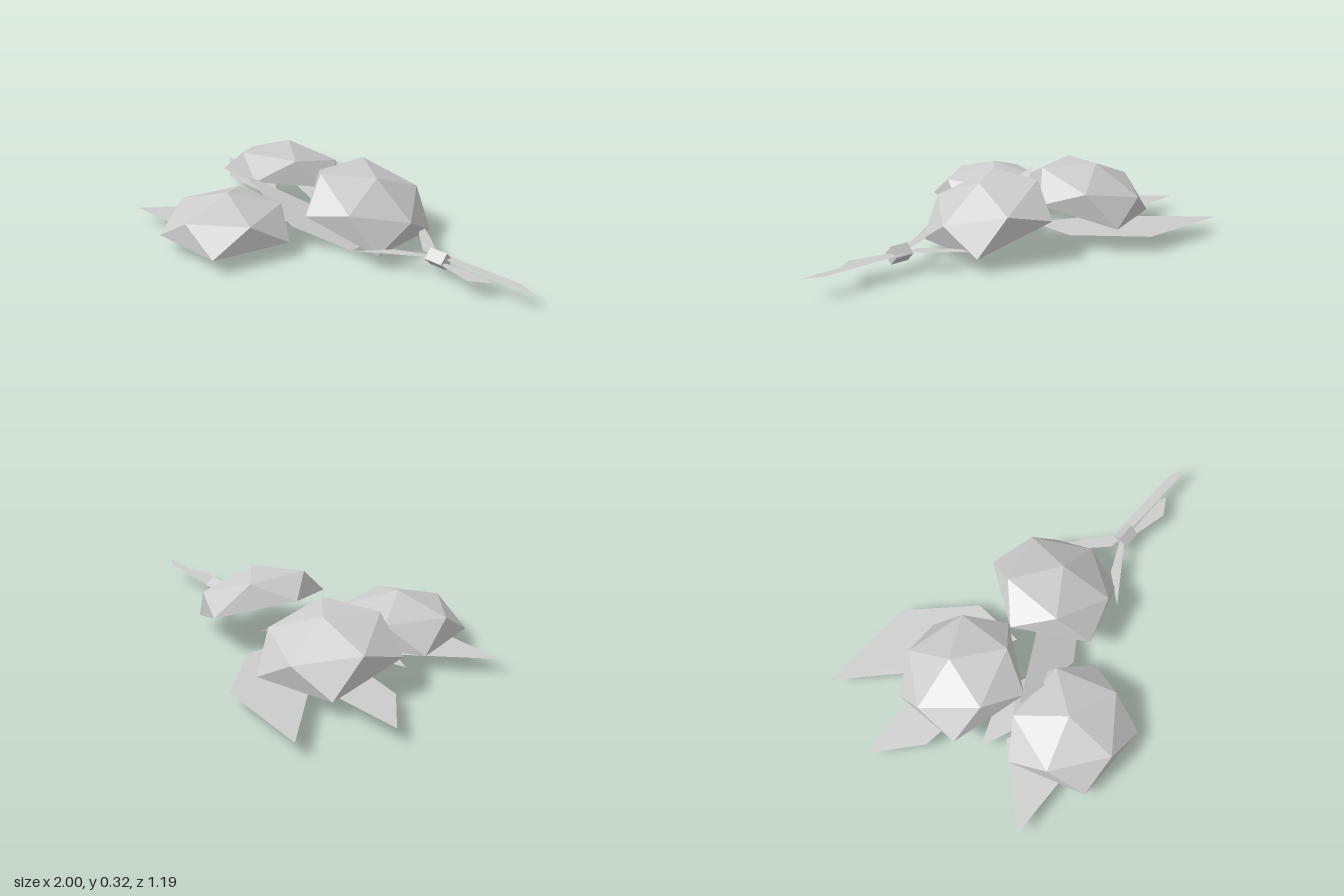
import * as THREE from 'three';

const material = new THREE.MeshStandardMaterial({ color: 0xcccccc, flatShading: true, side: THREE.DoubleSide });

// Open five-sided faceted cap: wide lower ring, narrower twisted upper ring, apex
function capGeometry() {
  const ring = (r, y, twist) => Array.from({ length: 5 }, (_, i) => {
    const a = (i + twist) * Math.PI * 2 / 5;
    return [r * Math.cos(a), y, r * Math.sin(a)];
  });
  const low = ring(0.306, 0, 0), up = ring(0.24, 0.11, 0.5), apex = [0, 0.18, 0];
  const pos = [];
  for (let i = 0; i < 5; i++) {
    const j = (i + 1) % 5;
    pos.push(...apex, ...up[j], ...up[i]);
    pos.push(...low[i], ...up[i], ...low[j]);
    pos.push(...up[i], ...up[j], ...low[j]);
  }
  const g = new THREE.BufferGeometry();
  g.setAttribute('position', new THREE.Float32BufferAttribute(pos, 3));
  g.computeVertexNormals();
  return g;
}

// Flat leaf from [x, z] outline points, at a height that may slope along x
function leaf(name, outline, height, slope = 0) {
  const shape = new THREE.Shape(outline.map(([x, z]) => new THREE.Vector2(x, -z)));
  const g = new THREE.ShapeGeometry(shape).rotateX(-Math.PI / 2);
  const p = g.attributes.position;
  for (let i = 0; i < p.count; i++) p.setY(i, height + slope * p.getX(i));
  g.computeVertexNormals();
  const mesh = new THREE.Mesh(g, material);
  mesh.name = name;
  return mesh;
}

export function createModel() {
  const model = new THREE.Group();
  model.name = 'flowerCluster';

  // Three flower heads: position, tilt about x and z, turn about the own axis
  const cap = capGeometry();
  const heads = [
    ['frontFlowerHead', [-0.33, 0.07, 0.34], 0, 0, Math.PI / 2],
    ['backFlowerHead', [-0.473, 0.139, -0.15], -0.258, 0.085, 0],
    ['leftFlowerHead', [0.086, 0.15, -0.11], 0, -0.367, Math.PI],
  ];
  for (const [name, at, tiltX, tiltZ, turn] of heads) {
    const head = new THREE.Group();
    head.name = name;
    head.position.set(...at);
    head.rotation.set(tiltX, 0, tiltZ);
    const mesh = new THREE.Mesh(cap, material);
    mesh.name = name + 'Cap';
    mesh.rotation.y = turn;
    head.add(mesh);
    model.add(head);
  }

  // Broad leaves lying under the heads
  model.add(
    leaf('frontLeaf', [[-0.82, 0.48], [-0.52, 0.47], [-0.48, 0.37], [-0.36, 0.31], [-0.55, 0.17]], 0.07),
    leaf('innerLeaf', [[-0.65, 0.11], [-0.5, 0.17], [-0.36, 0.25], [-0.2, 0.1], [-0.39, 0]], 0.07),
    leaf('sideLeaf', [[-1, -0.245], [-0.8, -0.075], [-0.525, -0.045], [-0.48, -0.1], [-0.7, -0.275]], 0.07),
    leaf('backLeaf', [[-0.87, -0.6], [-0.48, -0.23], [-0.18, -0.1], [-0.17, -0.34], [-0.42, -0.59]], 0.07),
    leaf('slopingLeaf', [[-0.43, 0.15], [-0.1, 0.17], [0.12, 0.02], [0.12, -0.09], [-0.02, -0.1]], 0.055, -0.46),
  );

  // Small bud turned on its edge
  const bud = new THREE.Mesh(new THREE.BoxGeometry(0.085, 0.055, 0.085 * 0.65), material);
  bud.name = 'bud';
  bud.position.set(0.54, 0.08, -0.06);
  bud.rotation.x = Math.PI / 4;
  bud.scale.z = 1;
  model.add(bud);

  // Narrow blades fanning out of the bud
  model.add(
    leaf('longBlade', [[0.54, -0.1], [0.54, -0.06], [0.92, -0.06], [1, -0.065], [0.92, -0.1]], 0.088),
    leaf('shortBlade', [[0.54, -0.05], [0.56, -0.03], [0.74, 0.01], [0.82, -0.04], [0.79, -0.055]], 0.078),
    leaf('frontBlade', [[0.24, 0.14], [0.5, -0.035], [0.5, -0.06], [0.35, 0.01]], 0.085),
    leaf('backBlade', [[0.24, -0.31], [0.35, -0.17], [0.45, -0.07], [0.5, -0.065], [0.5, -0.1], [0.42, -0.17]], 0.085),
  );
  return model;
}
